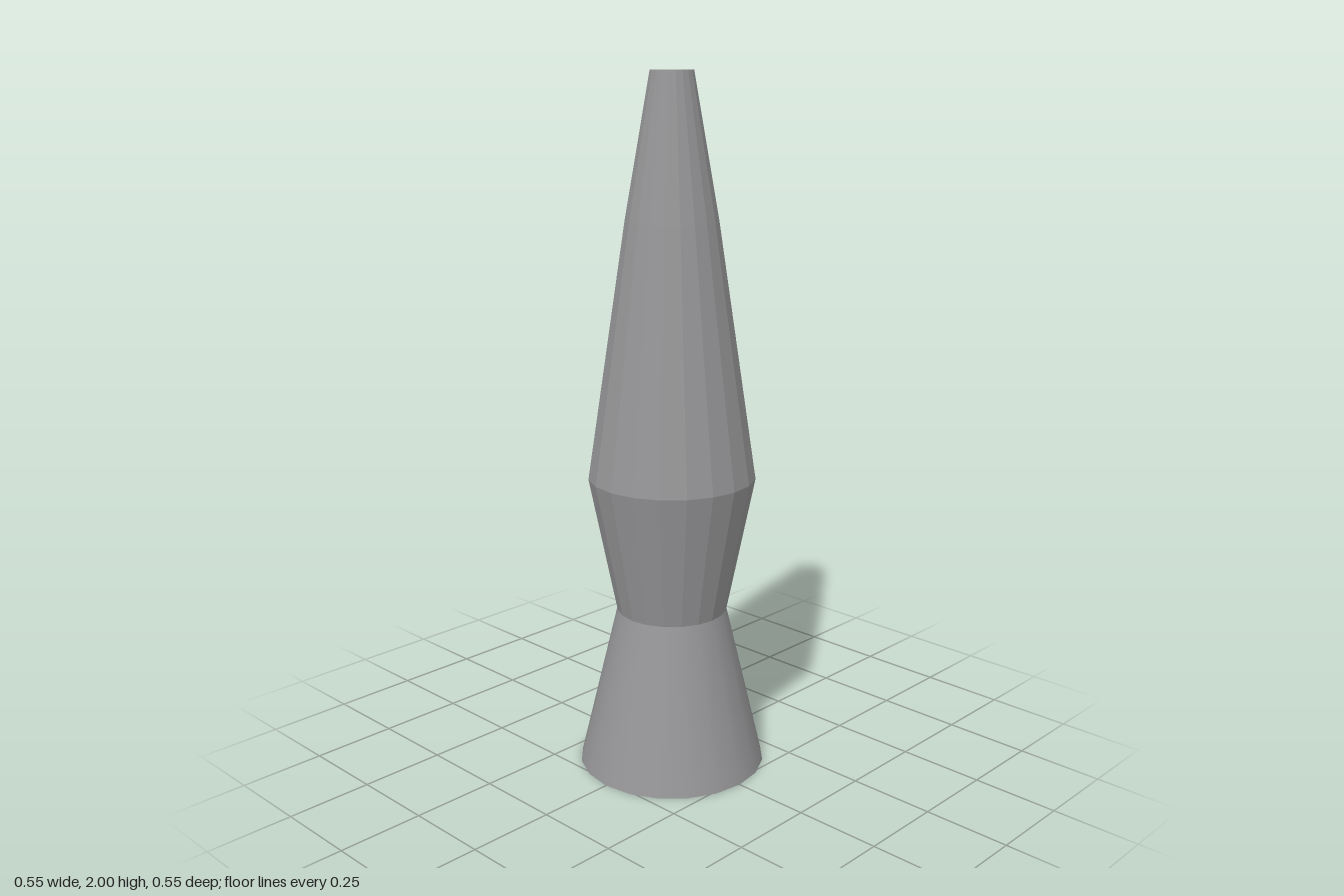
import * as THREE from 'three';

const SIDES = 20;
const grey = new THREE.MeshStandardMaterial({ color: 0x969698 });
grey.name = 'grey';
const facetedGrey = new THREE.MeshStandardMaterial({ color: 0x969698, flatShading: true });
facetedGrey.name = 'faceted grey';

export function createModel() {
  const model = new THREE.Group();
  model.name = 'lavaLamp';

  // Smooth flared stand, closed underneath
  const baseHeight = 0.475;
  const base = new THREE.Mesh(new THREE.CylinderGeometry(0.16, 0.273, baseHeight, SIDES), grey);
  base.name = 'base';
  base.position.y = baseHeight / 2;
  model.add(base);

  // Faceted vessel: widens to a shoulder, then tapers to a flat top
  const profile = [[0.16, baseHeight], [0.24, 0.875], [0.131, 1.6], [0.06, 2], [0, 2]]
    .map(([r, y]) => new THREE.Vector2(r, y));
  const vessel = new THREE.Mesh(new THREE.LatheGeometry(profile, SIDES), facetedGrey);
  vessel.name = 'vessel';
  model.add(vessel);

  return model;
}
